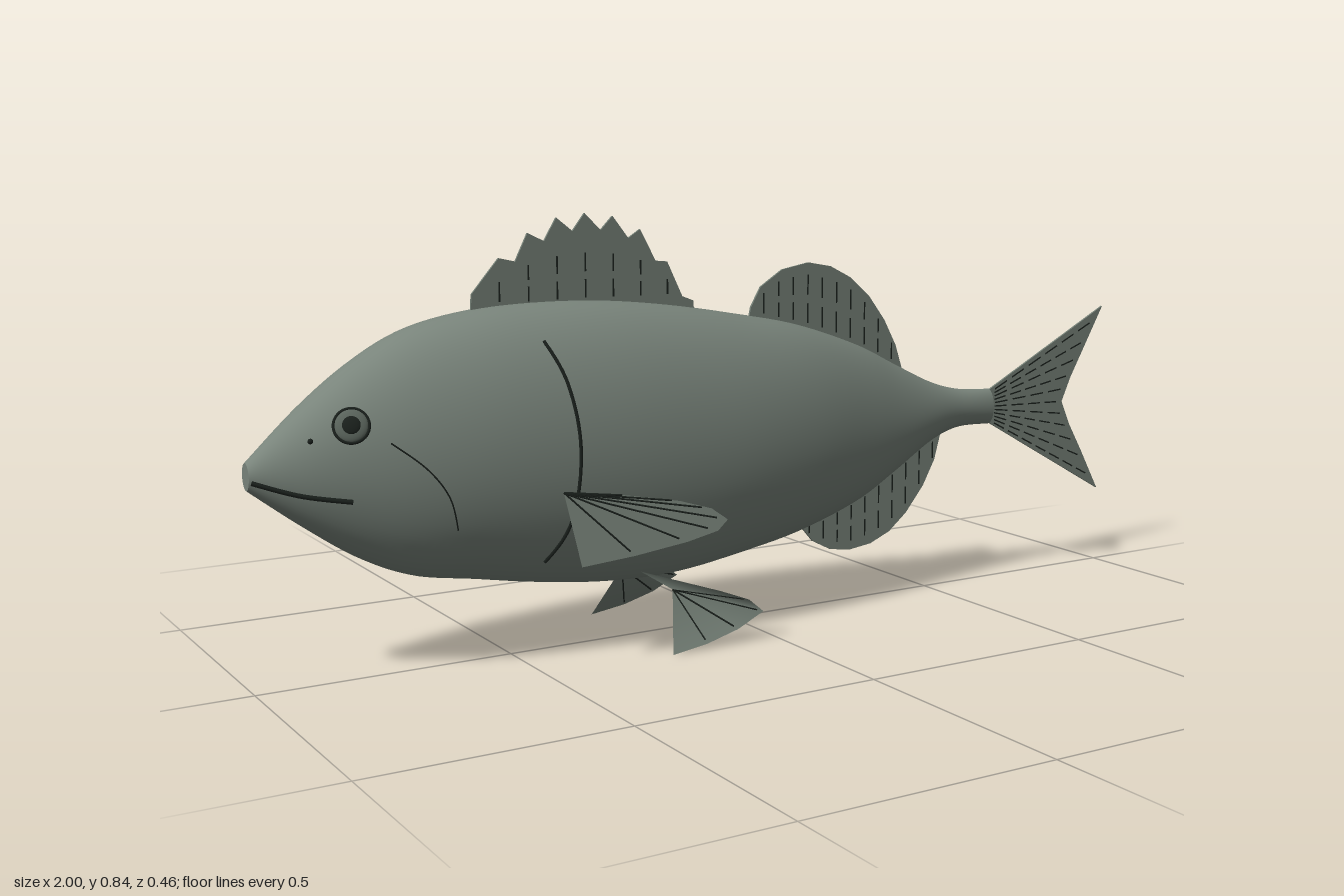
import * as THREE from 'three';

const mat = (name, color, side = THREE.FrontSide) =>
  Object.assign(new THREE.MeshStandardMaterial({ color, side }), { name });

// body stations: x, top, bottom, half width
const STATIONS = [
  [-1, 0.425, 0.375, 0.02], [-0.9, 0.517, 0.298, 0.067], [-0.8, 0.592, 0.23, 0.1],
  [-0.7, 0.643, 0.185, 0.125], [-0.58, 0.67, 0.163, 0.145], [-0.45, 0.679, 0.14, 0.156],
  [-0.3, 0.676, 0.122, 0.16], [-0.15, 0.66, 0.12, 0.155], [0, 0.635, 0.14, 0.143],
  [0.15, 0.605, 0.168, 0.12], [0.3, 0.555, 0.215, 0.086], [0.4, 0.507, 0.268, 0.064],
  [0.5, 0.46, 0.327, 0.045], [0.58, 0.437, 0.352, 0.03], [0.67, 0.43, 0.352, 0.021],
];
const curves = [1, 2, 3].map(k => new THREE.SplineCurve(STATIONS.map(s => new THREE.Vector2(s[0], s[k]))));

function section(t) {
  const [a, b, c] = curves.map(k => k.getPoint(t));
  return { x: a.x, c: (a.y + b.y) / 2, h: (a.y - b.y) / 2, w: c.y };
}
function sectionAt(x) {
  let lo = 0, hi = 1;
  for (let i = 0; i < 30; i++) {
    const m = (lo + hi) / 2;
    if (curves[0].getPoint(m).x < x) lo = m; else hi = m;
  }
  return section(lo);
}
// point on the flank at x, y
function onSkin(x, y, side) {
  const s = sectionAt(x), k = (y - s.c) / s.h;
  return new THREE.Vector3(x, y, side * s.w * Math.sqrt(Math.max(0, 1 - k * k)));
}

function bodyGeometry(nx = 72, na = 48) {
  const pos = [], idx = [];
  const ring = t => {
    const s = section(t);
    for (let j = 0; j < na; j++) {
      const a = (j / na) * Math.PI * 2;
      pos.push(s.x, s.c + s.h * Math.cos(a), s.w * Math.sin(a));
    }
  };
  for (let i = 0; i <= nx; i++) ring(i / nx);
  for (let i = 0; i < nx; i++) for (let j = 0; j < na; j++) {
    const a = i * na + j, b = i * na + (j + 1) % na;
    idx.push(a, b, a + na, b, b + na, a + na);
  }
  // flat caps at snout and tail root
  for (const t of [0, 1]) {
    const start = pos.length / 3, s = section(t);
    ring(t);
    pos.push(s.x, s.c, 0);
    for (let j = 0; j < na; j++) {
      const a = start + j, b = start + (j + 1) % na;
      idx.push(start + na, ...(t ? [a, b] : [b, a]));
    }
  }
  const g = new THREE.BufferGeometry();
  g.setAttribute('position', new THREE.Float32BufferAttribute(pos, 3));
  g.setIndex(idx);
  g.computeVertexNormals();
  return g;
}

function edgeY(pts, x) {
  for (let i = 0; i < pts.length - 1; i++) {
    const [x0, y0] = pts[i], [x1, y1] = pts[i + 1];
    if (x >= x0 && x <= x1) return y0 + (y1 - y0) * (x - x0) / (x1 - x0);
  }
  return pts[pts.length - 1][1];
}

export function createModel() {
  const skin = mat('skin', 0x79847b);
  const finSkin = mat('fin skin', 0x727d74, THREE.DoubleSide);
  const dark = mat('dark lines', 0x1a201c);
  const iris = mat('iris', 0x5a645c);

  const model = new THREE.Group();
  const add = (name, geo, m, parent = model) => {
    const mesh = new THREE.Mesh(geo, m);
    mesh.name = name;
    parent.add(mesh);
    return mesh;
  };
  const line = (name, pts, r, parent) =>
    add(name, new THREE.TubeGeometry(new THREE.CatmullRomCurve3(pts), Math.max(2, pts.length * 2), r, 5), dark, parent);

  add('body', bodyGeometry(), skin);

  // upright fins: thin plates with dashed rays
  function plateFin(name, pts, rays) {
    const g = new THREE.Group();
    g.name = name;
    const shape = new THREE.Shape(pts.map(p => new THREE.Vector2(...p)));
    const geo = new THREE.ExtrudeGeometry(shape, { depth: 0.005, bevelEnabled: false });
    add(name + 'Web', geo.translate(0, 0, -0.0025), finSkin, g);
    for (const [x0, y0, x1, y1] of rays) {
      const len = Math.hypot(x1 - x0, y1 - y0), n = Math.max(1, Math.round(len / 0.05));
      for (let i = 0; i < n; i++) {
        const k = (i + 0.5) / n;
        const dash = add(name + 'Ray', new THREE.BoxGeometry(len / n * 0.7, 0.003, 0.007), dark, g);
        dash.position.set(x0 + (x1 - x0) * k, y0 + (y1 - y0) * k, 0);
        dash.rotation.z = Math.atan2(y1 - y0, x1 - x0);
      }
    }
    model.add(g);
  }
  const upright = (pts, from, to, step, up) => {
    const rays = [];
    for (let x = from; x <= to; x += step) {
      const s = sectionAt(x), y0 = s.c + up * s.h, y1 = edgeY(pts, x);
      if (Math.abs(y1 - y0) > 0.02) rays.push([x, y0, x, y0 + (y1 - y0) * 0.88]);
    }
    return rays;
  };

  // spiny dorsal fin
  const tips = [[-0.51, 0.765], [-0.45, 0.81], [-0.39, 0.837], [-0.33, 0.844],
    [-0.27, 0.837], [-0.21, 0.81], [-0.15, 0.745], [-0.09, 0.665]];
  const spiny = [[-0.568, 0.66], [-0.566, 0.7]];
  tips.forEach(([x, y], i) => {
    spiny.push([x, y]);
    if (i < tips.length - 1) spiny.push([x + 0.034, (y + tips[i + 1][1]) / 2 - 0.03]);
  });
  plateFin('spinyDorsalFin', [...spiny, [-0.09, 0.62], [-0.5, 0.62]],
    tips.slice(0, 7).map(([x, y]) => [x, 0.675, x, 0.675 + (y - 0.675) * 0.6]));

  // soft dorsal fin
  const soft = [[0.035, 0.6], [0.045, 0.645], [0.068, 0.685], [0.12, 0.718], [0.185, 0.73], [0.24, 0.72],
    [0.29, 0.695], [0.34, 0.652], [0.38, 0.6], [0.41, 0.545], [0.432, 0.48]];
  plateFin('softDorsalFin', [...soft, [0.38, 0.45], [0.06, 0.57]], upright(soft, 0.075, 0.42, 0.036, 1));

  // anal fin
  const anal = [[0.16, 0.2], [0.17, 0.175], [0.2, 0.14], [0.245, 0.117], [0.295, 0.11], [0.35, 0.117],
    [0.4, 0.138], [0.445, 0.175], [0.49, 0.23], [0.52, 0.285], [0.538, 0.35]];
  plateFin('analFin', [...anal, [0.45, 0.38], [0.2, 0.25]], upright(anal, 0.19, 0.53, 0.036, -1));

  // forked tail
  const fork = [[1, 0.598], [0.95, 0.51], [0.91, 0.44], [0.885, 0.385], [0.91, 0.33], [0.95, 0.262], [1, 0.172]];
  const tailRays = [];
  for (let i = 0; i < 11; i++) {
    const f = i / 10 * 5.4 + 0.3, k = Math.floor(f), u = f - k;
    const [a, b] = [fork[k], fork[k + 1]];
    const ex = a[0] + (b[0] - a[0]) * u, ey = a[1] + (b[1] - a[1]) * u;
    const y0 = 0.425 - i * 0.007;
    tailRays.push([0.68, y0, 0.68 + (ex - 0.68) * 0.95, y0 + (ey - y0) * 0.95]);
  }
  plateFin('tailFin', [[0.65, 0.36], [0.65, 0.422], [0.675, 0.43], ...fork, [0.675, 0.352]], tailRays);

  // paired fins: a fan of triangles around the first point
  function fanFin(name, pts, rayRoot, rayEnds, parent) {
    const g = new THREE.Group();
    g.name = name;
    const idx = [];
    for (let i = 1; i < pts.length - 1; i++) idx.push(0, i, i + 1);
    const geo = new THREE.BufferGeometry().setFromPoints(pts);
    geo.setIndex(idx);
    geo.computeVertexNormals();
    add(name + 'Web', geo, finSkin, g);
    for (const end of rayEnds)
      line(name + 'Ray', [rayRoot, rayRoot.clone().lerp(end, 0.93)], 0.0018, g);
    parent.add(g);
  }

  for (const side of [1, -1]) {
    const label = side > 0 ? 'left' : 'right';
    const half = new THREE.Group();
    half.name = label + 'SideDetails';
    model.add(half);

    // pectoral fin, swept outward
    const pect = [[-0.455, 0.34], [-0.34, 0.328], [-0.24, 0.311], [-0.18, 0.293], [-0.15, 0.27],
      [-0.17, 0.25], [-0.23, 0.233], [-0.33, 0.214], [-0.43, 0.2]]
      .map(([x, y]) => new THREE.Vector3(x, y, side * (0.15 + 0.24 * (x + 0.455) + 0.11 * (0.34 - y))));
    fanFin('pectoralFin', pect, pect[0], pect.slice(1, 8), half);

    // pelvic fin, narrow at the root and flared below
    const pelv = [[-0.2, 0.112, 0.105], [-0.237, 0.002, 0.172], [-0.16, 0.013, 0.172], [-0.09, 0.032, 0.172],
      [-0.032, 0.06, 0.172], [-0.065, 0.088, 0.172], [-0.13, 0.114, 0.172], [-0.257, 0.15, 0.08]]
      .map(([x, y, z]) => new THREE.Vector3(x, y, side * z));
    fanFin('pelvicFin', pelv, pelv[0], pelv.slice(2, 6), half);

    // lines drawn on the skin
    const skinLine = (name, pts, r, n = 24) => {
      const c = new THREE.SplineCurve(pts.map(p => new THREE.Vector2(...p)));
      line(name, c.getPoints(n).map(p => onSkin(p.x, p.y, side)), r, half);
    };
    skinLine('gillLine', [[-0.466, 0.617], [-0.437, 0.54], [-0.422, 0.42], [-0.434, 0.28], [-0.47, 0.2]], 0.004);
    skinLine('cheekLine', [[-0.77, 0.455], [-0.71, 0.405], [-0.67, 0.35], [-0.65, 0.285]], 0.0015);
    skinLine('mouth', [[-0.996, 0.392], [-0.92, 0.367], [-0.835, 0.352]], 0.005, 12);
    add('nostril', new THREE.SphereGeometry(0.005, 10, 8), dark, half).position.copy(onSkin(-0.9, 0.463, side));

    // eye, facing along the skin normal
    const e = 0.02, p = onSkin(-0.832, 0.488, side);
    const dx = onSkin(-0.832 + e, 0.488, side).sub(p), dy = onSkin(-0.832, 0.488 + e, side).sub(p);
    const normal = dx.cross(dy).normalize().multiplyScalar(side);
    const eye = new THREE.Group();
    eye.name = label + 'Eye';
    eye.position.copy(p);
    eye.quaternion.setFromUnitVectors(new THREE.Vector3(0, 0, 1), normal);
    add('eyeRim', new THREE.TorusGeometry(0.031, 0.003, 8, 32), dark, eye);
    add('eyeball', new THREE.SphereGeometry(0.03, 24, 16).scale(1, 1, 0.3), iris, eye);
    add('pupil', new THREE.SphereGeometry(0.017, 20, 12).scale(1, 1, 0.3), dark, eye).position.z = 0.006;
    half.add(eye);
  }
  return model;
}
